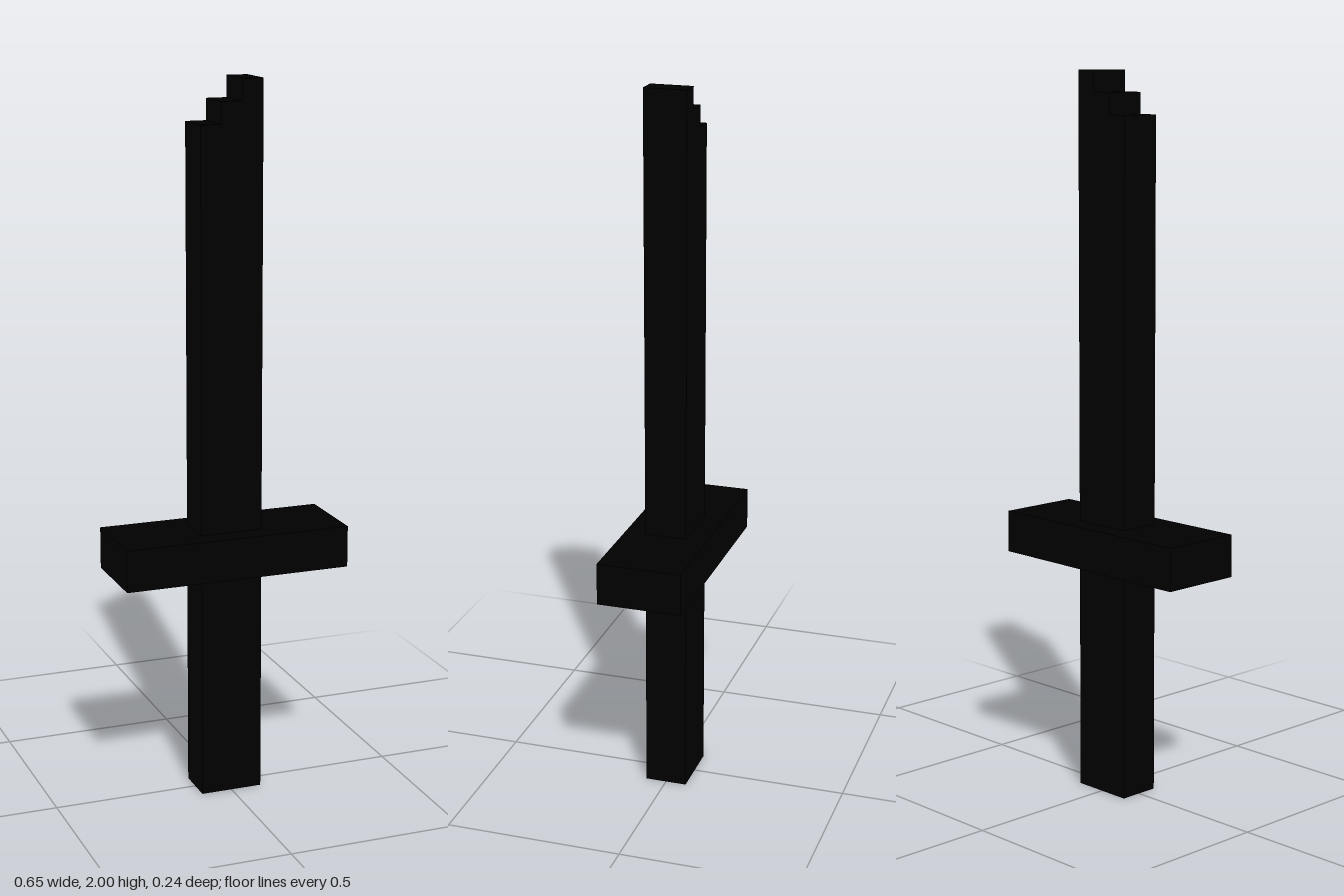
import * as THREE from 'three';

const U = 1 / 17; // one block of the grid the sword is laid out on

export function createModel() {
  const sword = new THREE.Group();
  sword.name = 'sword';
  const black = new THREE.MeshStandardMaterial({ color: 0x000000 });

  const add = (name, geometry) => {
    const mesh = new THREE.Mesh(geometry, black);
    mesh.name = name;
    sword.add(mesh);
  };
  // box standing on y, all sizes in blocks
  const block = (w, h, d, y) =>
    new THREE.BoxGeometry(w * U, h * U, d * U).translate(0, (y + h / 2) * U, 0);

  add('handle', block(3, 11, 2, 0));
  add('crossGuard', block(11, 2, 4, 11));

  // blade with a stepped tip rising towards +x
  const outline = [
    [-1.5, 13], [1.5, 13], [1.5, 34], [0.5, 34],
    [0.5, 33], [-0.5, 33], [-0.5, 32], [-1.5, 32],
  ].map(([x, y]) => new THREE.Vector2(x * U, y * U));
  add('blade', new THREE.ExtrudeGeometry(new THREE.Shape(outline), { depth: 2 * U, bevelEnabled: false })
    .translate(0, 0, -U));

  return sword;
}
